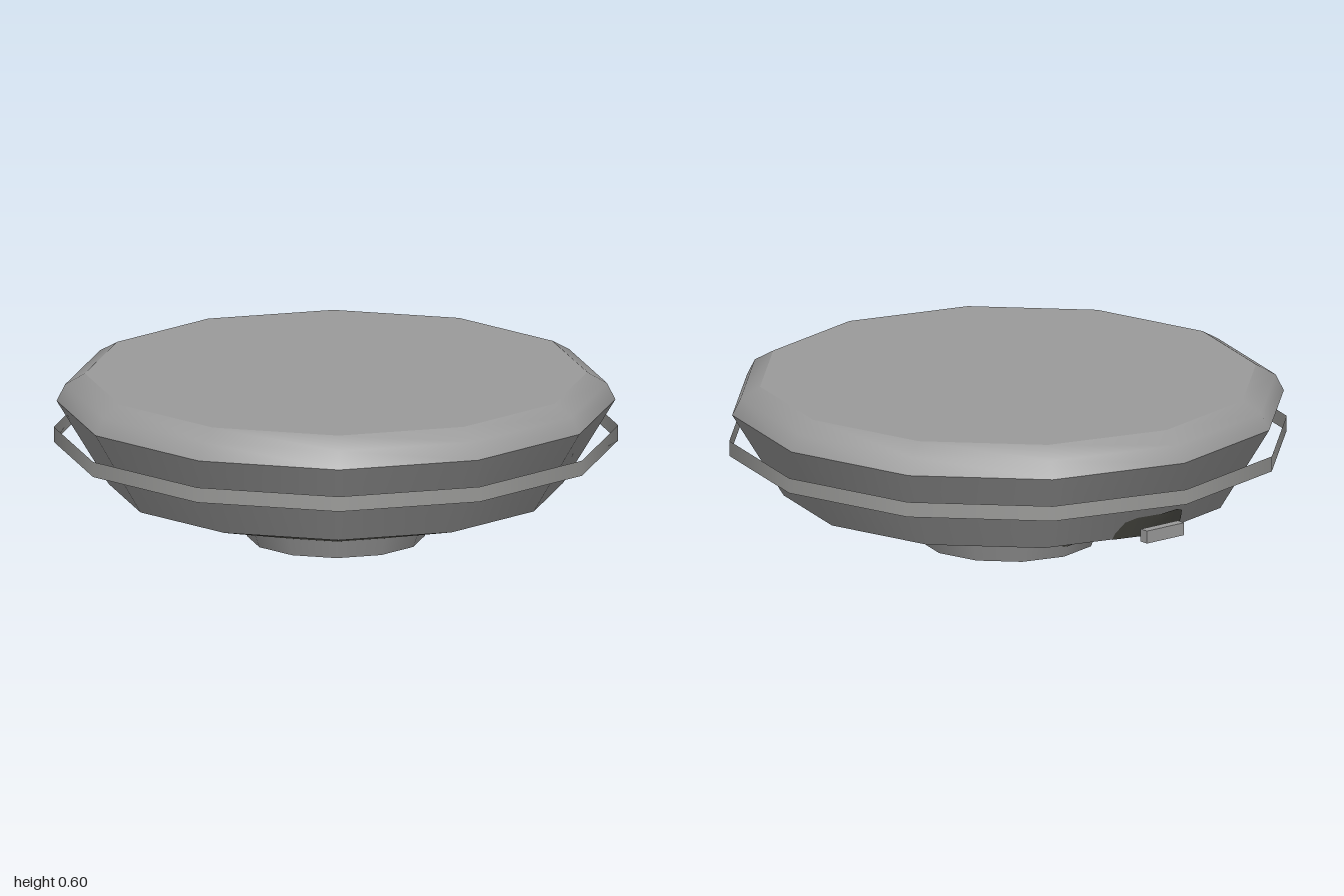
import * as THREE from 'three';

const SIDES = 12;

export function createModel() {
  const model = new THREE.Group();
  const grey = new THREE.MeshStandardMaterial({ color: 0x9a9a9a });
  grey.name = 'hull grey';
  const bandGrey = new THREE.MeshStandardMaterial({ color: 0x9a9a98, side: THREE.DoubleSide });
  bandGrey.name = 'band grey';
  const dark = new THREE.MeshStandardMaterial({ color: 0x55554e });
  dark.name = 'underside dark grey';

  const add = (name, geometry, material) => {
    const mesh = new THREE.Mesh(geometry, material);
    mesh.name = name;
    model.add(mesh);
    return mesh;
  };

  // Each turned band is its own surface, so the edges between bands stay sharp
  const turned = (name, material, ...profile) =>
    add(name, new THREE.LatheGeometry(profile.map(([r, y]) => new THREE.Vector2(r, y)), SIDES), material);

  turned('footBase', grey, [0, 0.003], [0.315, 0.003]);
  turned('foot', grey, [0.315, 0.003], [0.34, 0.07]);
  turned('underside', dark, [0.34, 0.07], [0.805, 0.195]);
  turned('lowerWall', grey, [0.805, 0.195], [0.99, 0.5]);
  turned('upperRim', grey, [0.99, 0.5], [0.96, 0.56], [0.89, 0.6]);
  turned('topPlate', grey, [0.89, 0.6], [0, 0.6]);

  // Thin open band standing clear of the hull
  turned('outerBand', bandGrey, [1, 0.35], [1, 0.405]);

  // Thin dark patch bent over the corner at the back of a sloping wall
  const backPatch = (name, xs, tops, bottom, radiusAt) => {
    const geometry = new THREE.PlaneGeometry(1, 1, xs.length - 1, 1);
    const pos = geometry.attributes.position;
    for (let i = 0; i < pos.count; i++) {
      const col = i % xs.length;
      const y = i < xs.length ? tops[col] : bottom;
      const z = radiusAt(y) + 0.004 - Math.abs(xs[col]) * Math.tan(Math.PI / SIDES);
      pos.setXYZ(i, -xs[col], y, -z);
    }
    geometry.computeVertexNormals();
    add(name, geometry, dark);
  };
  backPatch('rearWallPatch', [-0.15, -0.13, -0.09, 0, 0.09, 0.13, 0.15],
    [0.22, 0.265, 0.28, 0.285, 0.28, 0.265, 0.22], 0.195,
    (y) => 0.805 + (y - 0.195) * 0.607);
  backPatch('rearFootPatch', [-0.02, 0, 0.04, 0.08], [0.07, 0.07, 0.07, 0.07], 0.045,
    (y) => 0.315 + (y - 0.003) * 0.373);

  // Small block at the back
  add('rearBlock', new THREE.BoxGeometry(0.17, 0.046, 0.035), grey).position.set(0, 0.218, -0.866);

  return model;
}
